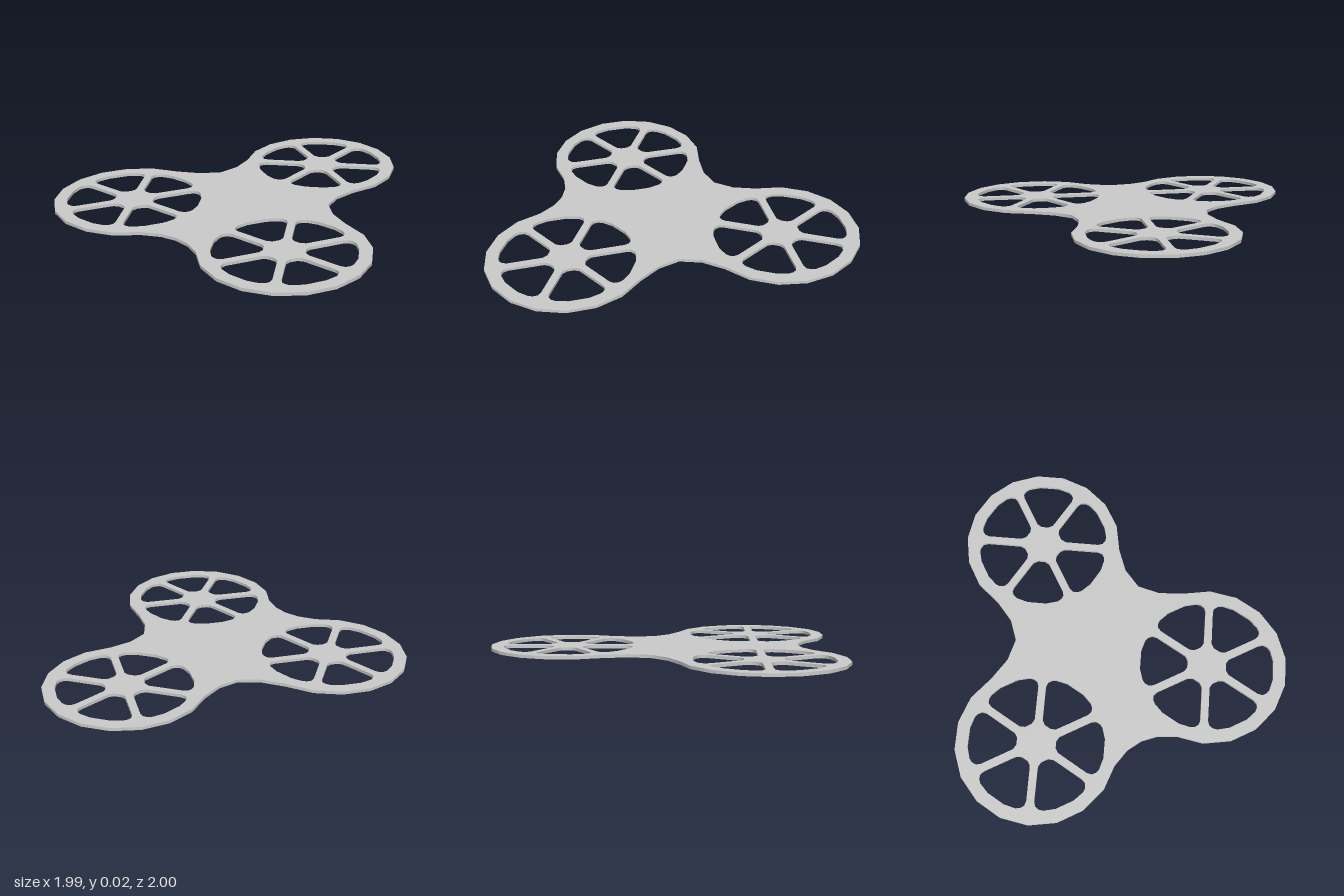
import * as THREE from 'three';
import { toCreasedNormals } from 'three/addons/utils/BufferGeometryUtils.js';

const THICKNESS = 0.018;
const RIM = 0.457;
// lobe centres on the plan (x, y = -z); spin sets the direction of the first opening
const LOBES = [
  { x: 0, y: 0.543, spin: 0 },
  { x: 0.536, y: -0.549, spin: 30 },
  { x: -0.536, y: -0.549, spin: 30 },
];
const rad = THREE.MathUtils.degToRad;
const ORIGIN = new THREE.Vector2();
// the plan is triangulated slightly turned, so that no spokes or corners line up with its axes
const TURN = rad(11);

// points on a lobe rim, clockwise from angle a to angle b in 20 degree steps
function rim(lobe, a, b) {
  const pts = [];
  for (let d = a; d >= b; d -= 20) {
    pts.push(new THREE.Vector2(lobe.x + RIM * Math.cos(rad(d)), lobe.y + RIM * Math.sin(rad(d))));
  }
  return pts;
}

const turned = (pts) => pts.map((p) => p.clone().rotateAround(ORIGIN, TURN));

// half of one rounded wedge opening: distance along its axis, offset from it
const WEDGE = [[0.11, 0.02], [0.125, 0.046], [0.15, 0.061], [0.295, 0.145],
  [0.322, 0.151], [0.345, 0.14], [0.361, 0.12], [0.38, 0.055]];

// counterclockwise, against the clockwise outline, so the inner walls face the opening
function wedgeHole(lobe, degrees) {
  const loop = [...WEDGE.map(([r, s]) => [r, -s]), ...[...WEDGE].reverse()];
  return new THREE.Path(turned(loop.map(([r, s]) =>
    new THREE.Vector2(r, s).rotateAround(ORIGIN, rad(degrees)).add(lobe))));
}

export function createModel() {
  const group = new THREE.Group();
  group.name = 'threeLobedPlate';

  // right half of the outline: back lobe, side waist, corner lobe, front waist
  const half = [
    ...rim(LOBES[0], 90, -30),
    new THREE.Vector2(0.372, 0.18), new THREE.Vector2(0.395, 0.055), new THREE.Vector2(0.487, -0.035),
    ...rim(LOBES[1], 80, -120),
    new THREE.Vector2(0.195, -0.85), new THREE.Vector2(0.093, -0.802), new THREE.Vector2(0, -0.788),
  ];
  // mirror it, without repeating the two points on the centre line
  const mirrored = half.slice(1, -1).reverse().map((p) => new THREE.Vector2(-p.x, p.y));
  const shape = new THREE.Shape(turned([...half, ...mirrored]));

  // six openings per lobe leave a hub and six spokes
  for (const lobe of LOBES) {
    for (let i = 0; i < 6; i++) shape.holes.push(wedgeHole(lobe, lobe.spin + i * 60));
  }

  // smooth walls with sharp top and bottom edges, laid flat
  const extruded = new THREE.ExtrudeGeometry(shape, { depth: THICKNESS, bevelEnabled: false });
  const geometry = toCreasedNormals(extruded, rad(50));
  geometry.rotateZ(-TURN).rotateX(-Math.PI / 2);
  const plate = new THREE.Mesh(geometry, new THREE.MeshStandardMaterial({ color: 0xcccccc }));
  plate.name = 'spokedPlate';
  group.add(plate);
  return group;
}
